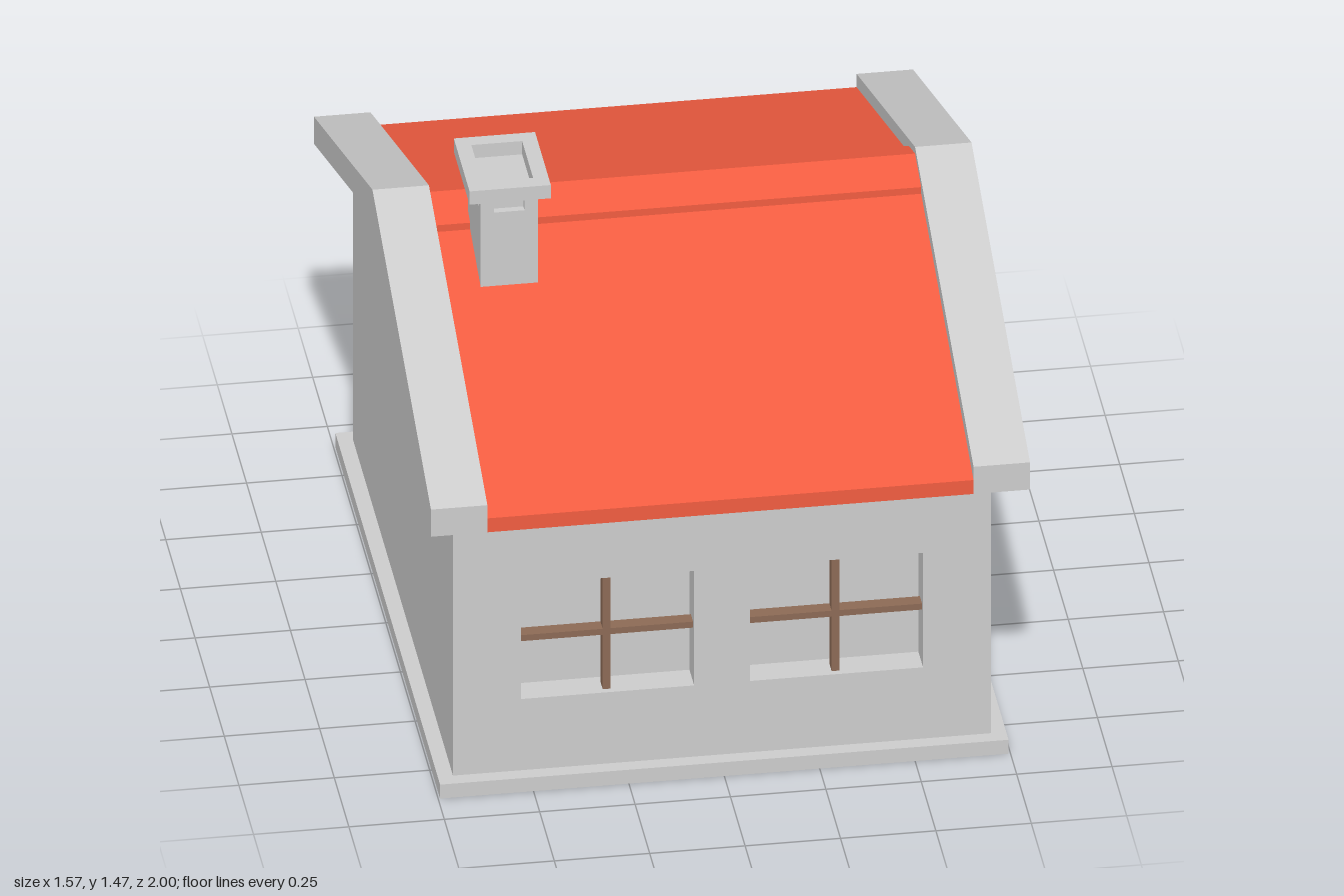
import * as THREE from 'three';

const mat = (color) => new THREE.MeshStandardMaterial({ color, flatShading: true });

export function createModel() {
  const house = new THREE.Group();
  const grey = mat(0xcccccc), red = mat(0xf05c40), brown = mat(0x8c6a55);

  function add(name, geometry, material) {
    const mesh = new THREE.Mesh(geometry, material);
    mesh.name = name;
    house.add(mesh);
    return mesh;
  }
  // Box given by its limits on each axis
  function box(name, [x0, x1], [y0, y1], [z0, z1], material = grey) {
    const g = new THREE.BoxGeometry(x1 - x0, y1 - y0, z1 - z0);
    g.translate((x0 + x1) / 2, (y0 + y1) / 2, (z0 + z1) / 2);
    return add(name, g, material);
  }
  const rect = ([a0, a1], [b0, b1]) => [[a0, b0], [a1, b0], [a1, b1], [a0, b1]];
  function extrude(points, holes, depth) {
    const toVec = (list) => list.map(([a, b]) => new THREE.Vector2(a, b));
    const shape = new THREE.Shape(toVec(points));
    for (const h of holes) shape.holes.push(new THREE.Path(toVec(h)));
    return new THREE.ExtrudeGeometry(shape, { depth, bevelEnabled: false });
  }
  // Profile of [z, y] points extruded along x
  function alongX(name, points, [x0, x1], material = grey, holes = []) {
    const flip = (list) => list.map(([z, y]) => [-z, y]);
    const g = extrude(flip(points), holes.map(flip), x1 - x0);
    g.rotateY(Math.PI / 2).translate(x0, 0, 0);
    return add(name, g, material);
  }

  const W = 0.705, D = 0.855, T = 0.08, FLOOR = 0.042;
  const slope = 0.373, under = 1.23;
  const roofY = (z, lift = 0) => under + lift - slope * Math.abs(z);
  const gable = (d) => [[-d, FLOOR], [d, FLOOR], [d, roofY(d)], [0, under], [-d, roofY(d)]];
  const chevron = (z, low, high) => [
    [-z, roofY(z, low)], [0, under + low], [z, roofY(z, low)],
    [z, roofY(z, high)], [0, under + high], [-z, roofY(z, high)],
  ];

  // Plinth and the inner core that closes the window recesses
  box('plinth', [-0.745, 0.745], [0, FLOOR], [-0.895, 0.895]);
  alongX('windowPanes', gable(D - T), [T - W, W - T]);

  // Gable walls: the left one carries a window and the door, the other is blank
  const winY = [0.257, 0.603], sideWin = [0.17, 0.67], doorZ = [-0.615, -0.215], doorY = [FLOOR + 0.001, 0.69];
  alongX('doorWall', gable(D), [W - T, W], grey, [rect(sideWin, winY), rect(doorZ, doorY)]);
  alongX('blankWall', gable(D), [-W, T - W]);
  box('door', [W - T - 0.01, W - T + 0.005], doorY, doorZ, brown);

  // Long walls with window openings
  const leftWin = [0.073, 0.527], rightWin = [-0.527, -0.073];
  const longWall = (name, z, windows) => {
    const g = extrude(rect([T - W, W - T], [FLOOR, roofY(D)]), windows.map((w) => rect(w, winY)), T);
    add(name, g.translate(0, 0, z), grey);
  };
  longWall('frontWall', D - T, [leftWin, rightWin]);
  longWall('backWall', -D, [rightWin]);

  // Window crossbars
  const mid = ([a, b]) => (a + b) / 2;
  const around = (c, size) => [c - size / 2, c + size / 2];
  const barY = around(0.43, 0.018);
  for (const [name, win, z] of [['frontLeft', leftWin, 1], ['frontRight', rightWin, 1], ['back', rightWin, -1]]) {
    const depth = z * (D - 0.037);
    box(name + 'WindowPost', around(mid(win), 0.02), winY, around(depth, 0.04), brown);
    box(name + 'WindowRail', win, barY, around(depth, 0.038), brown);
  }
  box('sideWindowPost', around(W - 0.037, 0.04), winY, around(mid(sideWin), 0.022), brown);
  box('sideWindowRail', around(W - 0.037, 0.038), around(0.43, 0.022), sideWin, brown);

  // Roof, ridge cap and the raised gable edges
  const E = 0.637;
  alongX('roof', chevron(1, 0, 0.042), [-E, E], red);
  alongX('ridgeCap', chevron(0.105, 0.03, 0.062), [-E, E], red);
  alongX('leftGableEdge', chevron(1, 0, 0.082), [E, 0.785]);
  alongX('rightGableEdge', chevron(1, 0, 0.082), [-0.785, -E]);

  // Chimney: shaft, a vent recess on each side and an open cap
  const cx = [-0.545, -0.395], cz = [0.067, 0.285], ventY = [1.387, 1.43];
  box('chimneyShaft', cx, [1.1, ventY[0]], cz);
  box('chimneyCore', [cx[0] + 0.02, cx[1] - 0.02], ventY, [cz[0] + 0.02, cz[1] - 0.02]);
  for (const x of [[cx[0], -0.51], [-0.43, cx[1]]])
    for (const z of [[cz[0], 0.108], [0.244, cz[1]]]) box('chimneyCorner', x, ventY, z);
  box('flueFloor', [-0.543, -0.397], [1.425, 1.432], [0.069, 0.283]);
  const cap = extrude(rect([-0.578, -0.365], [-0.31, -0.04]), [rect([-0.538, -0.405], [-0.267, -0.08])], 0.04);
  add('chimneyCap', cap.rotateX(-Math.PI / 2).translate(0, 1.432, 0), grey);

  return house;
}
